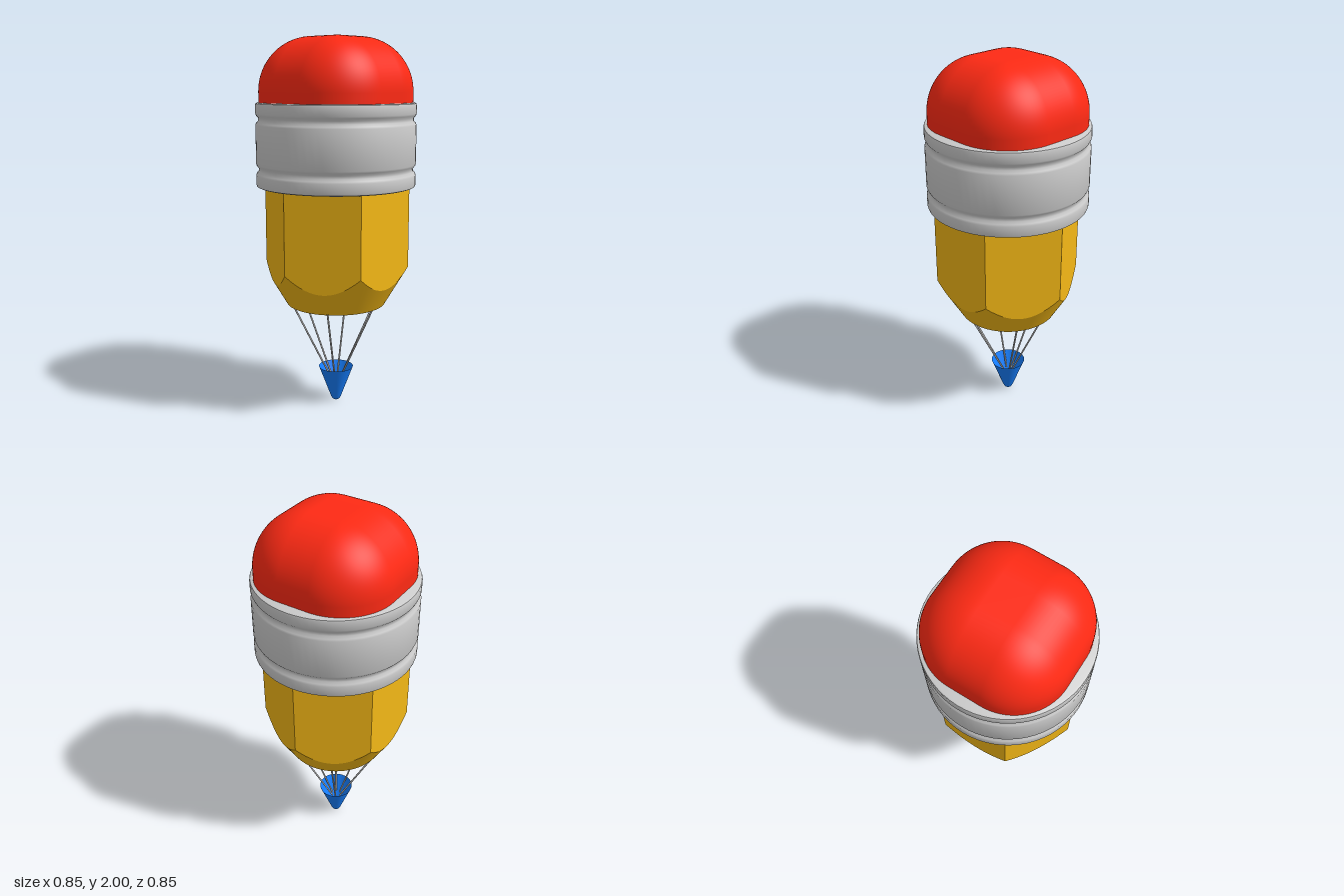
import * as THREE from 'three';
import { toCreasedNormals } from 'three/addons/utils/BufferGeometryUtils.js';
import { RoundedBoxGeometry } from 'three/addons/geometries/RoundedBoxGeometry.js';

const material = (color, side = THREE.FrontSide) => new THREE.MeshStandardMaterial({ color, side });

function addPart(group, name, geometry, mat) {
  const mesh = new THREE.Mesh(geometry, mat);
  mesh.name = name;
  group.add(mesh);
  return mesh;
}

const lathe = (profile, segments = 64) =>
  new THREE.LatheGeometry(profile.map(([r, y]) => new THREE.Vector2(r, y)), segments);

// Hollow hexagonal barrel whose lower end is trimmed by a cone, giving scalloped edges
function barrelGeometry() {
  const corner = 0.395, flat = corner * Math.cos(Math.PI / 6);
  const rimR = 0.268, rimY = 0.575, topY = 1.24, rise = 1.7, n = 96;
  const rings = [[], [], []];
  for (let i = 0; i <= n; i++) {
    const a = (i / n) * Math.PI * 2;
    const fromFlat = (a % (Math.PI / 3)) - Math.PI / 6;
    const r = flat / Math.cos(fromFlat);
    const point = (radius, y) => [radius * Math.cos(a), y, -radius * Math.sin(a)];
    rings[0].push(point(rimR, rimY));
    rings[1].push(point(r, rimY + (r - rimR) * rise));
    rings[2].push(point(r, topY));
  }
  const pos = [];
  for (let k = 0; k < 2; k++) {
    for (let i = 0; i < n; i++) {
      const [a, b, c, d] = [rings[k][i], rings[k][i + 1], rings[k + 1][i + 1], rings[k + 1][i]];
      pos.push(...a, ...b, ...c, ...a, ...c, ...d);
    }
  }
  const geo = new THREE.BufferGeometry();
  geo.setAttribute('position', new THREE.Float32BufferAttribute(pos, 3));
  return toCreasedNormals(geo, 0.3);
}

export function createModel() {
  const model = new THREE.Group();
  model.name = 'pencilCapsule';
  const grey = material(0xcccccc);

  // Eraser: heavily rounded block, its lower half hidden in the ferrule
  const eraser = addPart(model, 'eraser', new RoundedBoxGeometry(0.742, 0.74, 0.742, 12, 0.285), material(0xff2a14));
  eraser.position.y = 1.63;

  // Ferrule: band with two pressed grooves and softened rims
  const groove = (y) => [[0.425, y - 0.03], [0.421, y - 0.02], [0.411, y - 0.008],
    [0.411, y + 0.008], [0.421, y + 0.02], [0.425, y + 0.03]];
  const ferrule = lathe([
    [0, 1.22], [0.413, 1.22], [0.422, 1.224], [0.425, 1.234],
    ...groove(1.312), ...groove(1.575),
    [0.425, 1.648], [0.422, 1.657], [0.413, 1.661], [0, 1.661],
  ]);
  addPart(model, 'ferrule', toCreasedNormals(ferrule, 0.7), grey);

  // Barrel
  addPart(model, 'barrel', barrelGeometry(), material(0xf4b816, THREE.DoubleSide));

  // Lead tip: open cone with a rounded point
  const tip = lathe([[0, 0], [0.01, 0.002], [0.02, 0.009], [0.028, 0.022], [0.095, 0.2]], 40);
  addPart(model, 'leadTip', tip, material(0x167fff, THREE.DoubleSide));

  // Cords from the barrel rim down into the tip
  const cords = new THREE.Group();
  cords.name = 'cords';
  model.add(cords);
  const anchors = [[0, 0.262], [0, -0.262], [-0.235, 0.15], [-0.235, -0.1], [0.207, 0.125], [0.207, -0.1]];
  for (const [x, z] of anchors) {
    const top = new THREE.Vector3(x, 0.585, z);
    const bottom = new THREE.Vector3(x * 0.1, 0.125, z * 0.1);
    addPart(cords, 'cord', new THREE.TubeGeometry(new THREE.LineCurve3(bottom, top), 1, 0.005, 8), grey);
  }
  return model;
}
